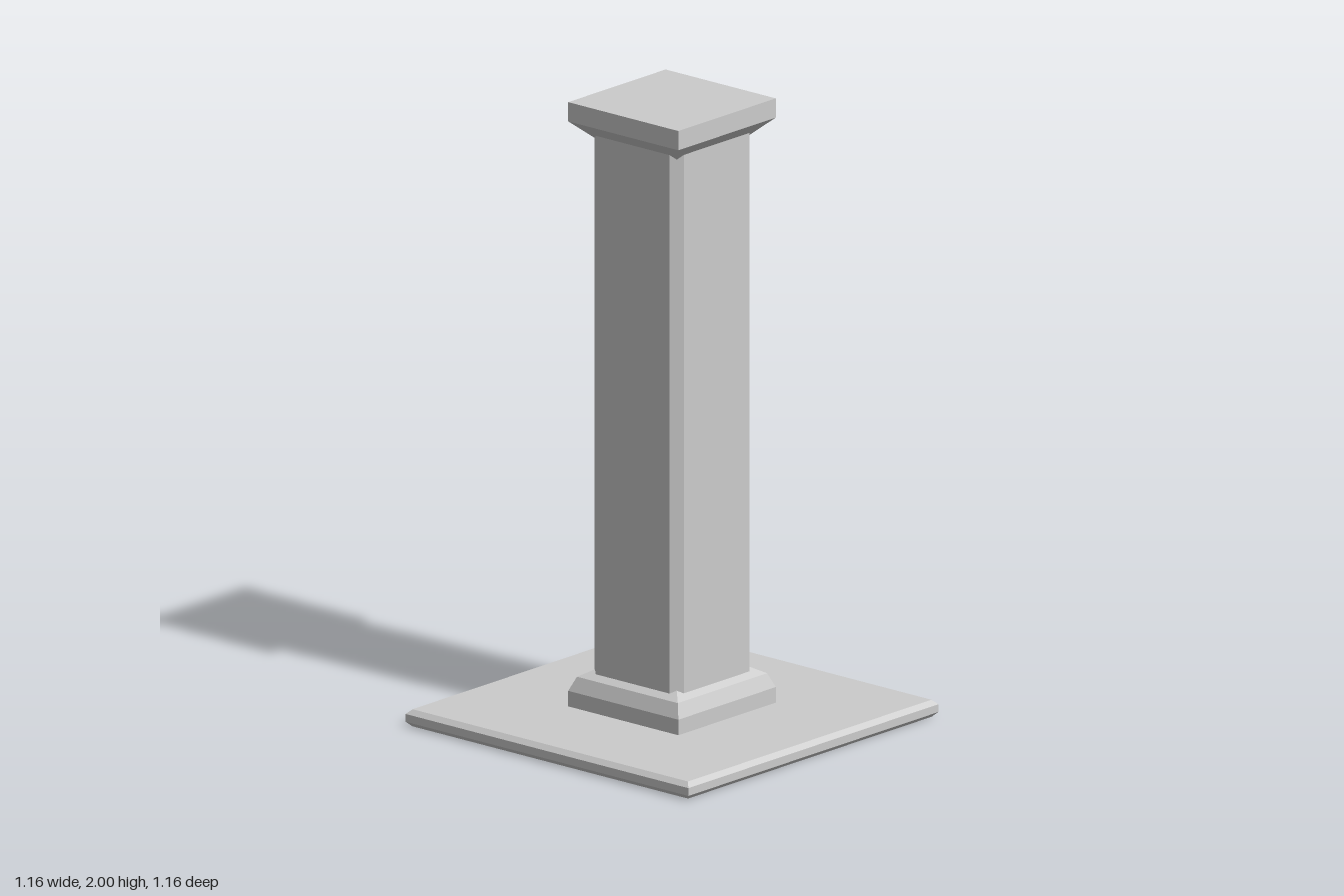
import * as THREE from 'three';

const material = new THREE.MeshStandardMaterial({ color: 0xcccccc, flatShading: true });

// Closed square block from a profile of [half width, height] points, bottom to top
function squareBlock(name, profile) {
  const points = profile.map(([half, y]) => new THREE.Vector2(half * Math.SQRT2, y));
  points.unshift(new THREE.Vector2(0, profile[0][1]));
  points.push(new THREE.Vector2(0, profile[profile.length - 1][1]));
  const mesh = new THREE.Mesh(new THREE.LatheGeometry(points, 4, Math.PI / 4), material);
  mesh.name = name;
  return mesh;
}

// Square shaft with chamfered vertical corners
function chamferedShaft(half, flat, bottom, top) {
  const corners = [
    [half, -flat], [half, flat], [flat, half], [-flat, half],
    [-half, flat], [-half, -flat], [-flat, -half], [flat, -half],
  ];
  const shape = new THREE.Shape(corners.map(([x, y]) => new THREE.Vector2(x, y)));
  const geometry = new THREE.ExtrudeGeometry(shape, { depth: top - bottom, bevelEnabled: false });
  geometry.rotateX(-Math.PI / 2).translate(0, bottom, 0);
  const mesh = new THREE.Mesh(geometry, material);
  mesh.name = 'shaft';
  return mesh;
}

export function createModel() {
  const model = new THREE.Group();
  model.name = 'pillar';
  model.add(
    // Wide floor slab with bevelled edges
    squareBlock('baseSlab', [[0.565, 0], [0.58, 0.015], [0.58, 0.04], [0.565, 0.055]]),
    // Plinth with rounded shoulders
    squareBlock('plinth', [[0.226, 0.05], [0.226, 0.105], [0.207, 0.15], [0.155, 0.18]]),
    chamferedShaft(0.183, 0.152, 0.05, 1.95),
    // Capital flaring out to a square top
    squareBlock('capital', [[0.165, 1.88], [0.226, 1.938], [0.226, 2]]),
  );
  return model;
}
